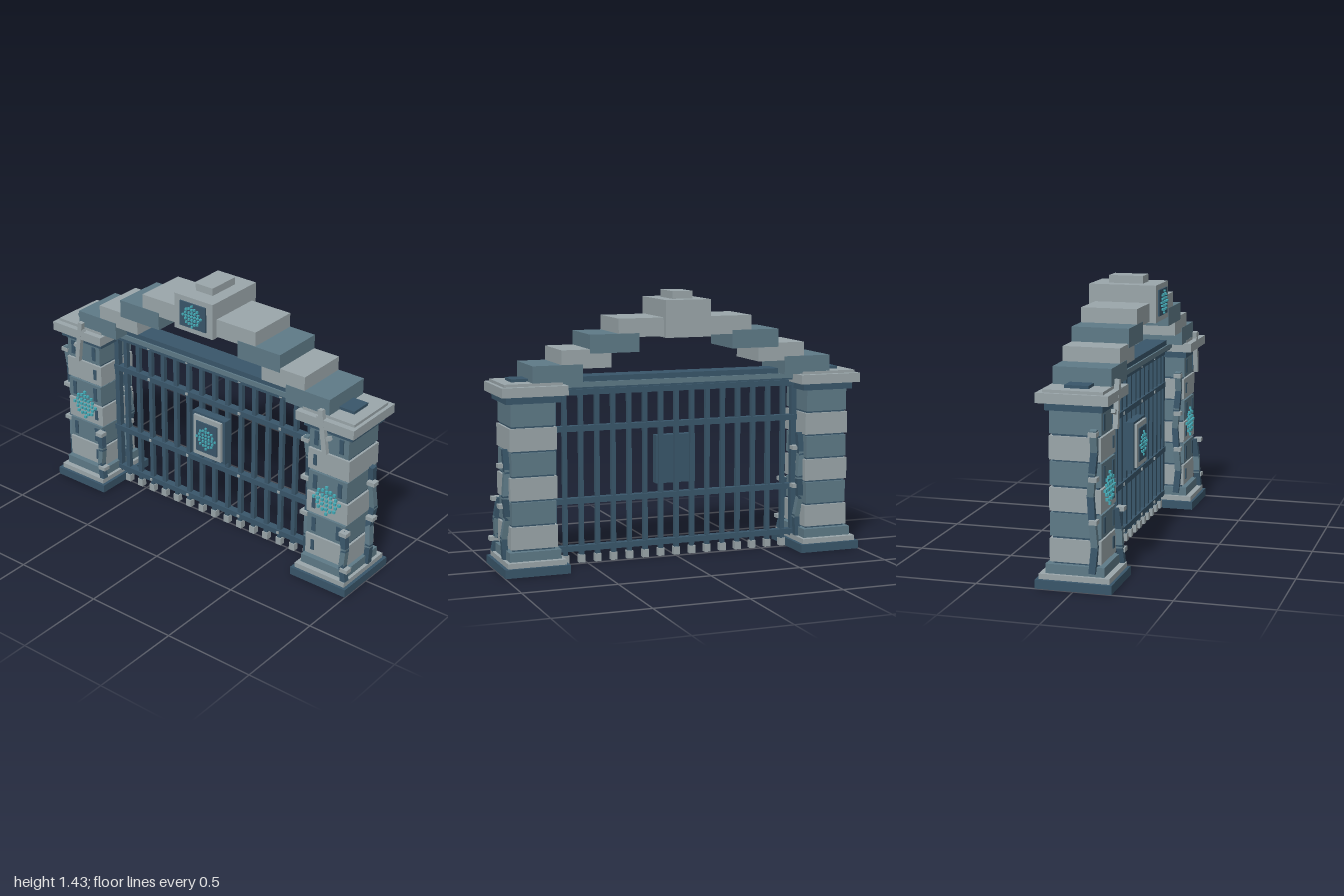
import * as THREE from 'three';

const mat = (name, color) => Object.assign(new THREE.MeshStandardMaterial({ color }), { name });

export function createModel() {
  const stone = mat('pale stone', 0x9aa6aa);
  const slate = mat('blue slate', 0x5e7a87);
  const iron = mat('dark iron', 0x39566a);
  const glow = mat('teal glow', 0x45aab6);
  const gate = new THREE.Group();
  gate.name = 'gateway';

  // Box given by centre and size, with an optional tilt
  const box = (parent, name, m, x, y, z, w, h, d, rx = 0, rz = 0) => {
    const b = new THREE.Mesh(new THREE.BoxGeometry(w, h, d), m);
    b.name = name;
    b.position.set(x, y, z);
    b.rotation.set(rx, 0, rz);
    parent.add(b);
    return b;
  };
  // Box given by its bottom and top heights
  const slab = (parent, name, m, x, y0, y1, w, d, z = -0.002) =>
    box(parent, name, m, x, (y0 + y1) / 2, z, w, y1 - y0, d);

  // Snowflake of small glowing studs
  const flake = (parent, name, x, y, z, r) => {
    const g = new THREE.Group();
    g.name = name;
    g.position.set(x, y, z);
    parent.add(g);
    const s = r * 0.18;
    const stud = (u, v) => box(g, 'stud', glow, u * r, v * r, 0, s, s, 0.012);
    stud(0, 0);
    for (let i = 0; i < 4; i++) {
      const c = Math.round(Math.cos(i * Math.PI / 2)), n = Math.round(Math.sin(i * Math.PI / 2));
      for (const [u, v] of [[0.33, 0], [0.66, 0], [1, 0], [0.33, 0.33], [0.62, 0.62], [0.72, 0.3], [0.72, -0.3]])
        stud(u * c - v * n, u * n + v * c);
    }
  };

  // Chain of overlapping tilted stems through [x, y, z] points, with leaves
  const vine = (parent, points, leaves) => {
    const g = new THREE.Group();
    g.name = 'vine';
    parent.add(g);
    points.slice(1).forEach((p, i) => {
      const a = new THREE.Vector3(...points[i]), b = new THREE.Vector3(...p);
      const dir = b.clone().sub(a);
      const stem = box(g, 'vineStem', i % 2 ? slate : iron, 0, 0, 0, 0.03, dir.length() + 0.02, 0.034);
      stem.position.copy(a).lerp(b, 0.5);
      stem.quaternion.setFromUnitVectors(new THREE.Vector3(0, 1, 0), dir.normalize());
    });
    for (const [x, y, z] of leaves) box(g, 'leaf', stone, x, y, z, 0.045, 0.022, 0.042);
  };

  // Pillars
  for (const side of [-1, 1]) {
    const p = new THREE.Group();
    p.name = side > 0 ? 'leftPillar' : 'rightPillar';
    p.position.x = side * 0.826;
    gate.add(p);
    slab(p, 'plinth', iron, 0, 0, 0.045, 0.345, 0.39);
    slab(p, 'plinthStep', stone, 0, 0.045, 0.072, 0.31, 0.36);
    slab(p, 'foot', slate, 0, 0.072, 0.12, 0.275, 0.3);
    slab(p, 'core', iron, 0, 0.1, 0.9, 0.225, 0.235);
    for (let i = 0; i < 6; i++) {
      const y = 0.13 + i * 0.127;
      slab(p, 'course', i % 2 ? slate : stone, 0, y, y + 0.117, i % 2 ? 0.235 : 0.25, 0.262);
      if (i % 2) for (const s of [-1, 1]) slab(p, 'slot', iron, s * 0.076, y + 0.02, y + 0.1, 0.024, 0.006, 0.131);
      else slab(p, 'slot', iron, -side * 0.08, y + 0.03, y + 0.09, 0.02, 0.006, 0.131);
    }
    slab(p, 'neck', iron, 0, 0.882, 0.922, 0.29, 0.292);
    slab(p, 'cap', stone, 0, 0.92, 0.97, 0.348, 0.364);
    slab(p, 'capStep', stone, 0, 0.97, 0.985, 0.31, 0.3);
    flake(p, 'pillarRune', 0, 0.487, 0.136, 0.078);
    // Dead branch hanging over the cap
    box(p, 'branch', stone, -side * 0.012, 0.9, 0.168, 0.028, 0.24, 0.025, 0, side * 0.14);
    box(p, 'branchTwig', stone, -side * 0.005, 0.955, 0.168, 0.1, 0.022, 0.022, 0, -side * 0.35);
    box(p, 'branchTwig', stone, side * 0.012, 0.865, 0.162, 0.04, 0.02, 0.022, 0, side * 0.4);
    // Vines
    vine(p, [[0.138, 0.065, -0.06], [0.145, 0.18, -0.06], [0.13, 0.29, -0.075], [0.142, 0.4, -0.088],
      [0.13, 0.53, -0.08], [0.135, 0.635, -0.07]], [[0.15, 0.56, -0.055], [0.15, 0.35, -0.06]]);
    vine(p, [[0.14, 0.08, 0.155], [0.125, 0.16, 0.15], [0.13, 0.25, 0.145], [0.115, 0.35, 0.135]],
      [[0.13, 0.352, 0.155], [0.145, 0.14, 0.155]]);
    vine(p, [[-0.14, 0.1, 0.09], [-0.132, 0.22, 0.1], [-0.14, 0.35, 0.09], [-0.13, 0.47, 0.08],
      [-0.14, 0.58, 0.09], [-0.133, 0.69, 0.1], [-0.15, 0.79, 0.1]],
    [[-0.15, 0.56, 0.1], [-0.15, 0.35, 0.1], [-0.155, 0.78, 0.1]]);
  }

  // Lintel
  slab(gate, 'lintel', iron, 0, 0.935, 1.0, 1.84, 0.122);
  slab(gate, 'lintelTrim', slate, 0, 0.945, 0.972, 1.32, 0.14);

  // Rails with rivets
  for (const y of [0.913, 0.722, 0.34, 0.086]) {
    box(gate, 'rail', iron, 0, y, 0, 1.43, 0.03, 0.04);
    for (const x of [-0.445, -0.178, 0.178, 0.445]) box(gate, 'rivet', stone, x, y, 0.021, 0.014, 0.014, 0.01);
  }
  // Bars with feet, and hinge posts
  for (let i = -7; i <= 7; i++) {
    slab(gate, 'bar', iron, i * 0.089, 0.045, 0.94, 0.024, 0.024, 0);
    slab(gate, 'barFoot', stone, i * 0.089, 0.008, 0.05, 0.034, 0.034, 0);
  }
  for (const s of [-1, 1]) slab(gate, 'hingePost', iron, s * 0.685, 0.06, 0.94, 0.03, 0.03, 0);

  // Gate plaque
  slab(gate, 'plaqueBack', iron, 0, 0.4, 0.66, 0.224, 0.05, 0.03);
  slab(gate, 'plaqueFrame', stone, 0, 0.412, 0.648, 0.186, 0.02, 0.06);
  slab(gate, 'plaquePanel', iron, 0, 0.44, 0.62, 0.142, 0.008, 0.073);
  flake(gate, 'plaqueRune', 0, 0.53, 0.079, 0.062);

  // Stepped arch, mirrored
  for (const s of [-1, 1])
    [[0.698, 0.975, slate], [0.545, 1.05, stone], [0.393, 1.125, slate], [0.238, 1.202, stone]].forEach(([x, y, m]) =>
      slab(gate, 'archBlock', m, s * x, y, y + 0.097, 0.266, m === slate ? 0.298 : 0.294));

  // Keystone
  slab(gate, 'keystone', stone, 0, 1.195, 1.39, 0.25, 0.36);
  slab(gate, 'keystoneCap', stone, 0, 1.39, 1.43, 0.11, 0.184);
  slab(gate, 'keystonePanel', iron, 0, 1.225, 1.362, 0.168, 0.009, 0.182);
  flake(gate, 'keystoneRune', 0, 1.293, 0.191, 0.058);
  return gate;
}
